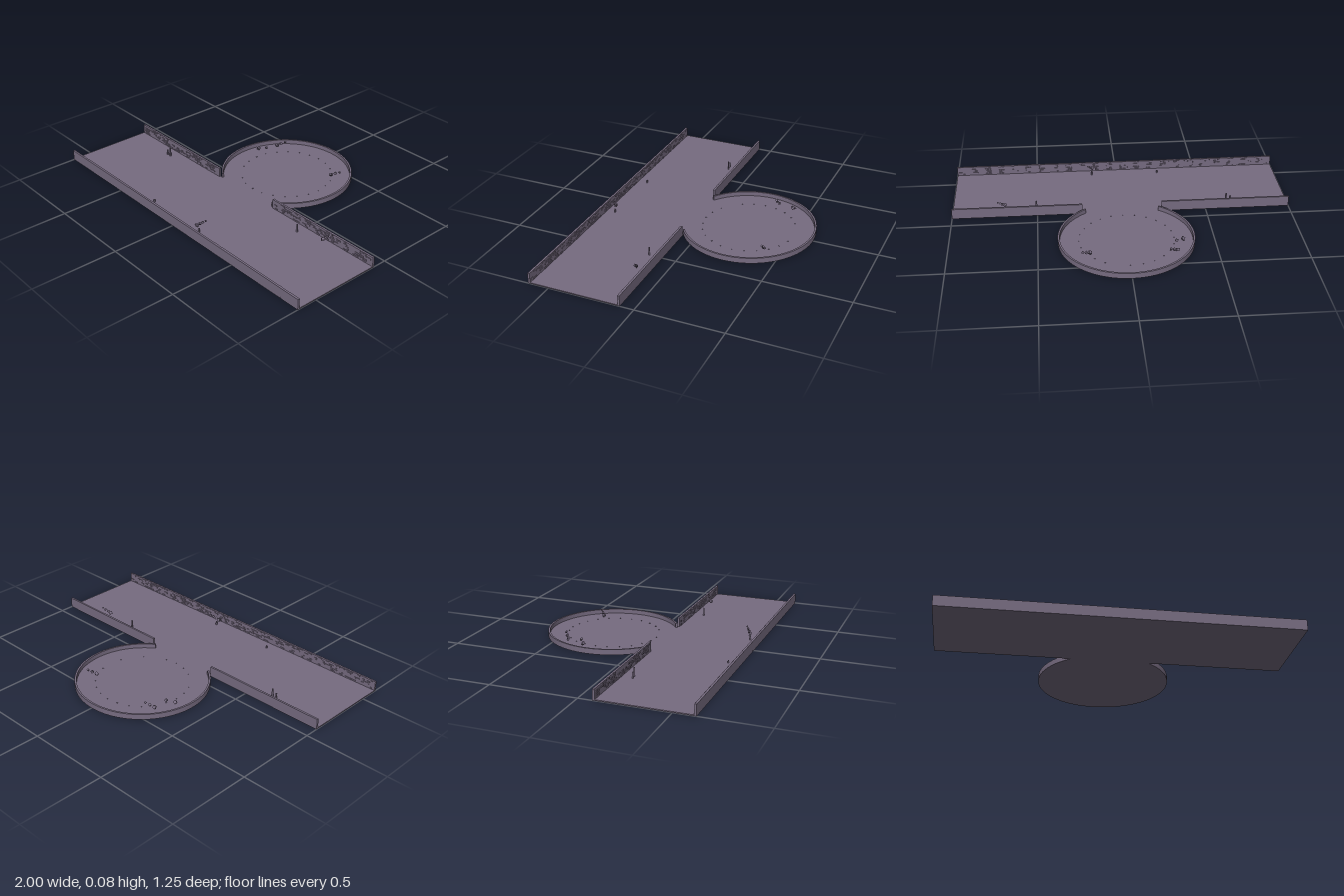
import * as THREE from 'three';

const FLOOR = 0.006, R = 0.388, CZ = -0.235, WALL = 0.012;
const NECK = Math.asin((-0.085 - 0.235) / R); // where the round room meets the corridor

// small seeded generator for the masonry and rubble
function seeded(seed) {
  return () => (seed = (seed * 16807) % 2147483647) / 2147483647;
}

// extrude a plan drawn as (x, -z) upwards
function extrudeUp(shape, height) {
  return new THREE.ExtrudeGeometry(shape, { depth: height, bevelEnabled: false, curveSegments: 64 })
    .rotateX(-Math.PI / 2);
}

export function createModel() {
  const model = new THREE.Group();
  const rnd = seeded(41);
  const stone = new THREE.MeshStandardMaterial({ color: 0x766b80 });
  stone.name = 'purple grey stone';

  const add = (name, geometry, parent = model) => {
    const mesh = new THREE.Mesh(geometry, stone);
    mesh.name = name;
    parent.add(mesh);
    return mesh;
  };
  const group = (name) => {
    const g = new THREE.Group();
    g.name = name;
    model.add(g);
    return g;
  };
  const box = (name, parent, size, pos, rot = [0, 0, 0]) => {
    const mesh = add(name, new THREE.BoxGeometry(...size), parent);
    mesh.position.set(...pos);
    mesh.rotation.set(...rot);
    return mesh;
  };

  // floor: corridor and round room in one slab
  const plan = new THREE.Shape();
  plan.moveTo(-1, -0.622);
  plan.lineTo(1, -0.622);
  plan.lineTo(1, -0.08);
  plan.lineTo(R * Math.cos(NECK), -0.08);
  plan.absarc(0, -CZ, R, NECK, Math.PI - NECK, false);
  plan.lineTo(-R * Math.cos(NECK), -0.08);
  plan.lineTo(-1, -0.08);
  add('floor', extrudeUp(plan, FLOOR));

  // low curved wall of the round room
  const ring = new THREE.Shape();
  ring.absarc(0, -CZ, R, NECK, Math.PI - NECK, false);
  ring.absarc(0, -CZ, R - 0.011, Math.PI - NECK, NECK, true);
  ring.closePath();
  add('roundRoomWall', extrudeUp(ring, 0.032));

  // straight corridor wall with scattered raised stones on the inner face
  const corridorWall = (name, x0, x1, zOuter, inward) => {
    const g = group(name);
    box('wallCore', g, [x1 - x0, 0.062, WALL], [(x0 + x1) / 2, 0.031, zOuter + inward * WALL / 2]);
    const face = zOuter + inward * WALL;
    for (let row = 0; row < 5; row++) {
      for (let x = x0 + 0.02; x < x1 - 0.03;) {
        const w = 0.01 + rnd() * 0.02;
        if (rnd() < 0.45) {
          box('raisedStone', g, [w, 0.008, 0.004], [x + w / 2, 0.012 + row * 0.0108, face + inward * 0.001]);
        }
        x += w + 0.004;
      }
    }
  };
  corridorWall('frontWall', -1, 1, 0.622, -1);
  corridorWall('backWallLeft', 0.235, 1, 0.08, 1);
  corridorWall('backWallRight', -1, -0.235, 0.08, 1);

  // leaning rubble: [x, z, base height, top height, pieces]
  const rubble = group('rubble');
  const piles = [
    [0.16, 0.545, 0.045, 0.078, 4], [0.71, 0.13, 0.045, 0.078, 4],
    [-0.25, -0.42, 0.03, 0.055, 3], [0.235, -0.41, 0.03, 0.05, 3],
    [-0.295, -0.305, 0.03, 0.038, 2],
  ];
  for (const [x, z, low, high, count] of piles) {
    for (let i = 0; i < count; i++) {
      const t = i / (count - 1) - 0.5, s = 0.017 - i * 0.003;
      box('rubblePiece', rubble, [s, s, s * 0.7],
        [x + t * 0.04, low + (high - low) * (t + 0.5), z - t * 0.03],
        [rnd(), rnd(), rnd()]);
    }
  }

  // thin upright stakes standing on the corridor floor
  const stakes = group('stakes');
  for (const [x, z, h] of [
    [-0.66, 0.157, 0.04], [-0.635, 0.155, 0.058], [0.505, 0.157, 0.055],
    [-0.26, 0.552, 0.022], [0.155, 0.557, 0.03],
  ]) {
    box('stake', stakes, [0.008, h, 0.007], [x, h / 2, z], [0, 0.3, 0]);
  }

  // tiny studs in a circle on the round room floor
  const studs = group('floorStuds');
  for (let i = 0; i < 24; i++) {
    const a = (i / 24) * Math.PI * 2;
    box('stud', studs, [0.005, 0.003, 0.005],
      [0.27 * Math.cos(a), FLOOR + 0.001, CZ + 0.27 * Math.sin(a)], [0, -a, 0]);
  }
  return model;
}
